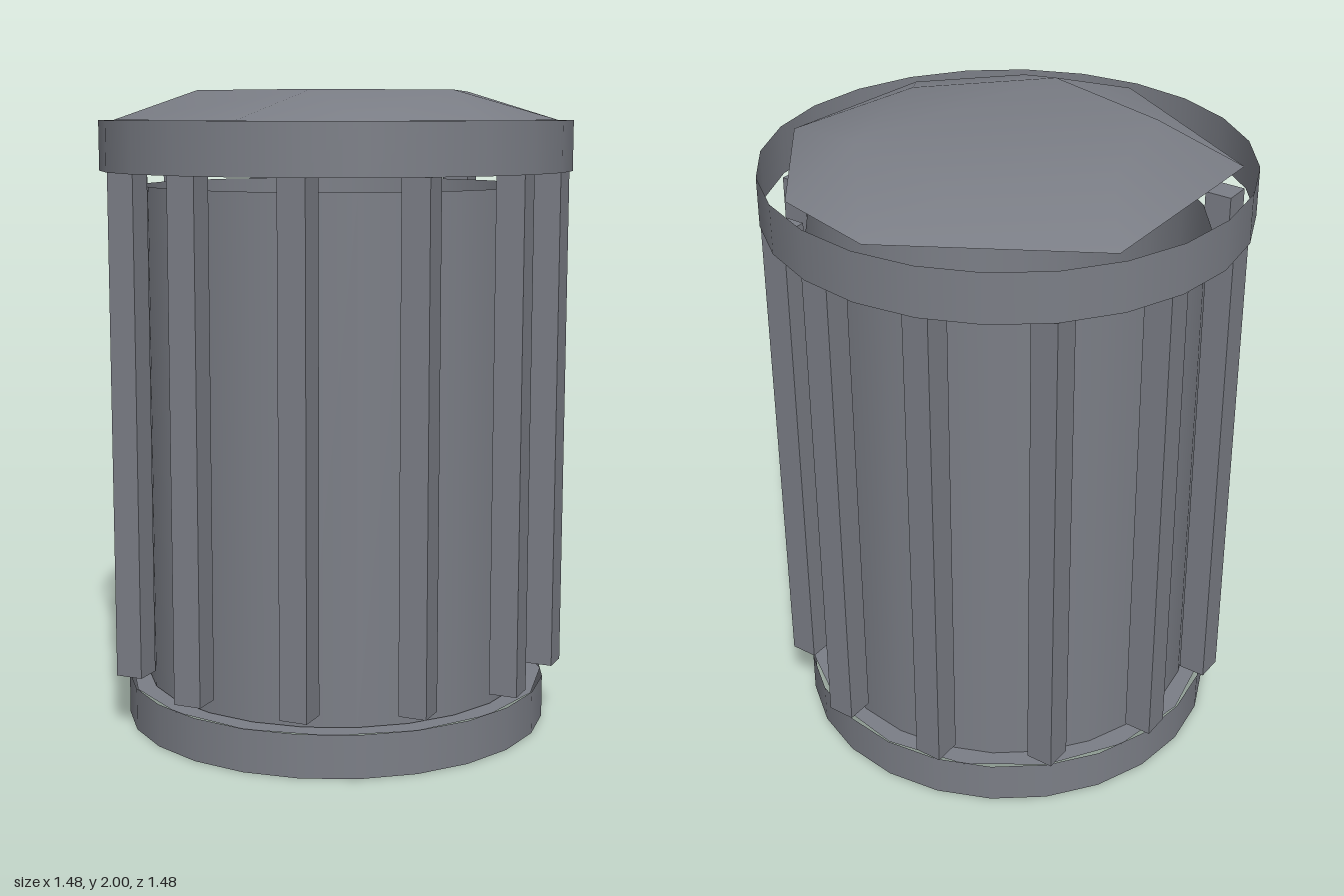
import * as THREE from 'three';

const SIDES = 24;

export function createModel() {
  const bin = new THREE.Group();
  bin.name = 'litterBin';
  const metal = new THREE.MeshStandardMaterial({ color: 0x7b7e86, side: THREE.DoubleSide });
  metal.name = 'grey metal';

  const add = (name, geometry, x = 0, y = 0, z = 0) => {
    const mesh = new THREE.Mesh(geometry, metal);
    mesh.name = name;
    mesh.position.set(x, y, z);
    bin.add(mesh);
    return mesh;
  };

  // Thin open sleeve between two heights
  const sleeve = (name, radius, y0, y1) =>
    add(name, new THREE.CylinderGeometry(radius, radius, y1 - y0, SIDES, 1, true), 0, (y0 + y1) / 2);

  sleeve('baseRing', 0.675, 0, 0.135);
  sleeve('body', 0.61, 0.135, 1.71);
  sleeve('lidRing', 0.74, 1.755, 1.91);

  // Floor plate recessed inside the base ring
  add('floor', new THREE.CircleGeometry(0.67, 16).rotateX(-Math.PI / 2), 0, 0.132);

  // Twelve square slats, all turned 45 degrees
  const side = 0.062 * Math.SQRT2;
  const slatGeometry = new THREE.BoxGeometry(side, 1.57, side).rotateY(Math.PI / 4);
  for (let i = 0; i < 12; i++) {
    const a = (i / 12) * Math.PI * 2;
    add('slat', slatGeometry, Math.cos(a) * 0.675, 0.97, Math.sin(a) * 0.675);
  }

  add('lidTop', lidGeometry());
  return bin;
}

// Faceted lid: an uneven rim joined to a raised hexagon
function lidGeometry() {
  const points = [];
  // Rim corners 0-7, clockwise seen from above
  for (const deg of [255, 315, 345, 30, 75, 105, 135, 195]) {
    const a = THREE.MathUtils.degToRad(deg);
    points.push(0.694 * Math.cos(a), 1.91, 0.694 * Math.sin(a));
  }
  // Raised corners 8-13
  for (let i = 0; i < 6; i++) {
    const a = (i * Math.PI) / 3;
    points.push(0.452 * Math.cos(a), 2, 0.452 * Math.sin(a));
  }
  const index = [
    7, 10, 11, 7, 6, 10, 6, 5, 10, 5, 9, 10, 5, 4, 9, 4, 3, 9, 3, 8, 9,
    3, 2, 8, 2, 1, 8, 1, 13, 8, 1, 12, 13, 1, 0, 12, 0, 7, 12, 7, 11, 12,
  ];
  for (let i = 9; i < 13; i++) index.push(8, i + 1, i);
  const geometry = new THREE.BufferGeometry();
  geometry.setAttribute('position', new THREE.Float32BufferAttribute(points, 3));
  geometry.setIndex(index);
  geometry.computeVertexNormals();
  return geometry;
}
